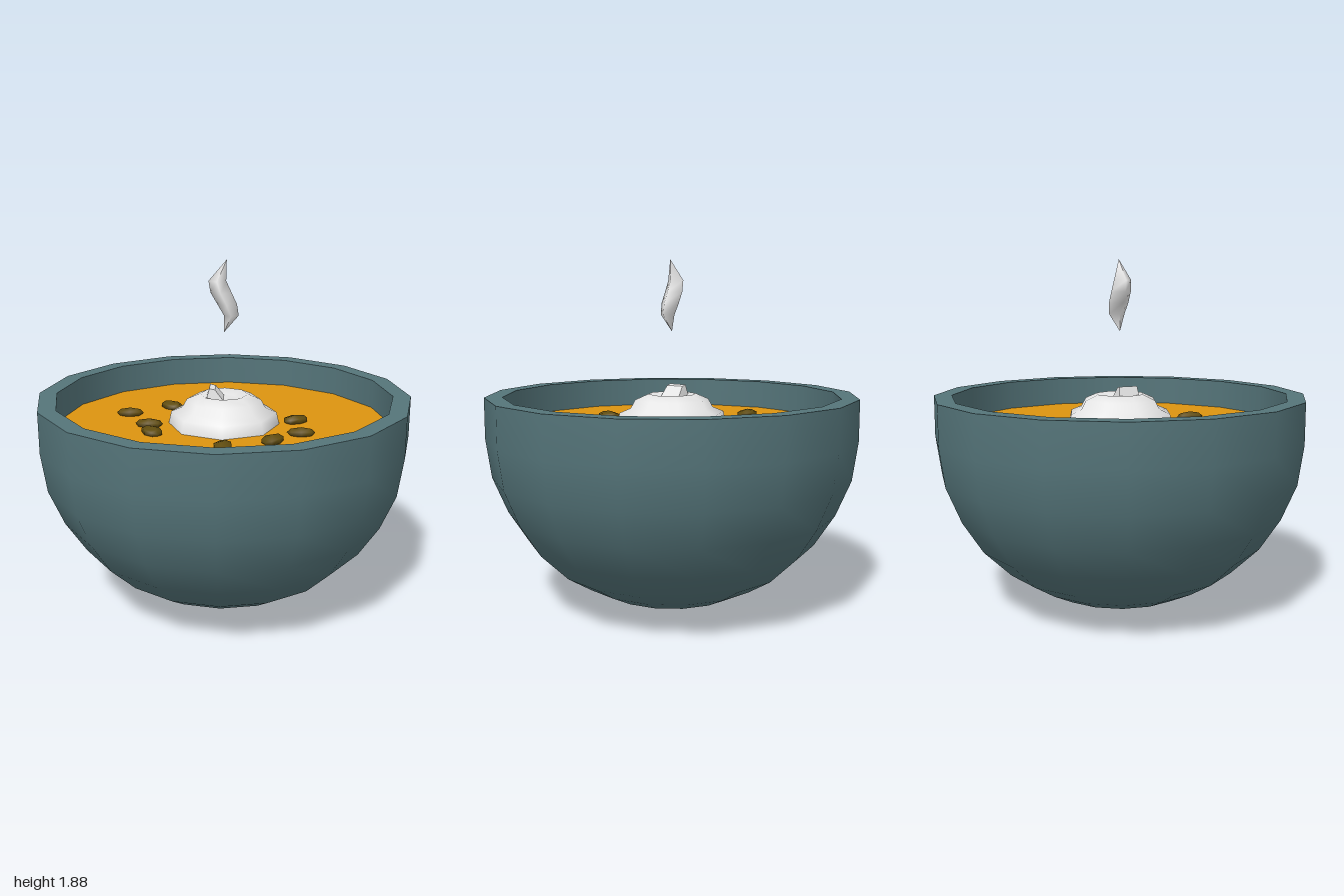
import * as THREE from 'three';

const mat = (name, color, side = THREE.FrontSide) => {
  const m = new THREE.MeshStandardMaterial({ color, side });
  m.name = name;
  return m;
};

export function createModel() {
  const group = new THREE.Group();
  const ceramic = mat('blue grey ceramic', 0x55757a, THREE.DoubleSide);
  const orange = mat('orange soup', 0xdd9410);
  const white = mat('white cream', 0xe6e6e6);
  const brown = mat('brown seed', 0x614d10);

  const SOUP_Y = 1.0;
  const add = (name, geometry, material, parent = group) => {
    const mesh = new THREE.Mesh(geometry, material);
    mesh.name = name;
    parent.add(mesh);
    return mesh;
  };
  const lathe = (pts, sides) =>
    new THREE.LatheGeometry(pts.map(([r, y]) => new THREE.Vector2(r, y)), sides);

  // Bowl: separate shells keep the rim edges crisp
  const bowl = new THREE.Group();
  bowl.name = 'bowl';
  group.add(bowl);
  add('bowlOuter', lathe([
    [0, 0], [0.2, 0.03], [0.37, 0.08], [0.5, 0.145], [0.63, 0.225], [0.78, 0.37],
    [0.89, 0.54], [0.97, 0.73], [1, 0.94], [1, 1.16],
  ], 16), ceramic, bowl);
  add('bowlRim', lathe([[1, 1.16], [0.905, 1.16]], 16), ceramic, bowl);
  add('bowlInner', lathe([[0.905, 1.16], [0.905, 0.94]], 16), ceramic, bowl);

  // Soup surface
  add('soup', lathe([[0.905, SOUP_Y], [0, SOUP_Y]], 16), orange);

  // Two-tier dollop of cream with a folded tip
  const cream = new THREE.Group();
  cream.name = 'cream';
  group.add(cream);
  add('creamSwirl', lathe([
    [0.3, SOUP_Y], [0.285, 1.065], [0.225, 1.09], [0.2, 1.135],
    [0.13, 1.165], [0.07, 1.145], [0, 1.15],
  ], 8), white, cream);
  const tip = new THREE.BoxGeometry(0.1, 0.07, 0.12);
  const tp = tip.attributes.position;
  for (let i = 0; i < tp.count; i++) {
    if (tp.getY(i) > 0) {
      tp.setX(i, tp.getX(i) * 0.3 - 0.015);
      tp.setZ(i, tp.getZ(i) * 0.85);
      if (tp.getX(i) > -0.015) tp.setY(i, 0.028);
    }
  }
  tip.computeVertexNormals();
  add('creamTip', tip, white, cream).position.set(-0.045, 1.175, 0.015);

  // Seeds scattered around the cream: x, z, heading in degrees
  const seedGeo = new THREE.SphereGeometry(1, 6, 4);
  seedGeo.rotateZ(Math.PI / 2);
  seedGeo.scale(0.075, 0.028, 0.052);
  const seeds = new THREE.Group();
  seeds.name = 'seeds';
  group.add(seeds);
  [
    [-0.53, -0.15, 0], [-0.31, -0.3, -45], [-0.16, -0.37, 75], [0.01, -0.38, 90],
    [-0.4, 0.06, -5], [-0.37, 0.2, -55], [0.01, 0.44, 80], [0.26, 0.32, 55],
    [0.41, 0.19, 0], [0.39, -0.04, 30],
  ].forEach(([x, z, deg]) => {
    const seed = add('seed', seedGeo, brown, seeds);
    seed.position.set(x, SOUP_Y + 0.012, z);
    seed.rotation.y = THREE.MathUtils.degToRad(deg);
  });

  // Curl of steam: diamond sections given as y, left x, right x, half depth
  const sections = [
    [1.5, 0, 0, 0], [1.59, 0, 0.078, 0.045], [1.65, -0.035, 0.068, 0.057],
    [1.71, -0.07, 0.04, 0.057], [1.77, -0.08, 0.012, 0.05], [1.88, 0.015, 0.015, 0],
  ];
  const pos = [], index = [];
  sections.forEach(([y, l, r, d], j) => {
    const c = (l + r) / 2;
    pos.push(r, y, 0, c, y, d, l, y, 0, c, y, -d);
    if (j === 0) return;
    for (let k = 0; k < 4; k++) {
      const a = (j - 1) * 4 + k, b = (j - 1) * 4 + ((k + 1) % 4);
      // counter-clockwise seen from outside
      index.push(a, a + 4, b, b, a + 4, b + 4);
    }
  });
  const steam = new THREE.BufferGeometry();
  steam.setAttribute('position', new THREE.Float32BufferAttribute(pos, 3));
  // ring runs +x, +z, -x, so flip the winding to face outward
  for (let i = 0; i < index.length; i += 3) {
    const t = index[i + 1];
    index[i + 1] = index[i + 2];
    index[i + 2] = t;
  }
  steam.setIndex(index);
  // Ring order +x to +z is clockwise from above, so outward is checked by signed volume
  let volume = 0;
  const v = (i) => new THREE.Vector3().fromArray(pos, i * 3);
  for (let i = 0; i < index.length; i += 3) {
    volume += v(index[i]).dot(v(index[i + 1]).cross(v(index[i + 2])));
  }
  if (volume < 0) steam.setIndex(index.slice().reverse());
  steam.computeVertexNormals();
  add('steam', steam, white);

  return group;
}
